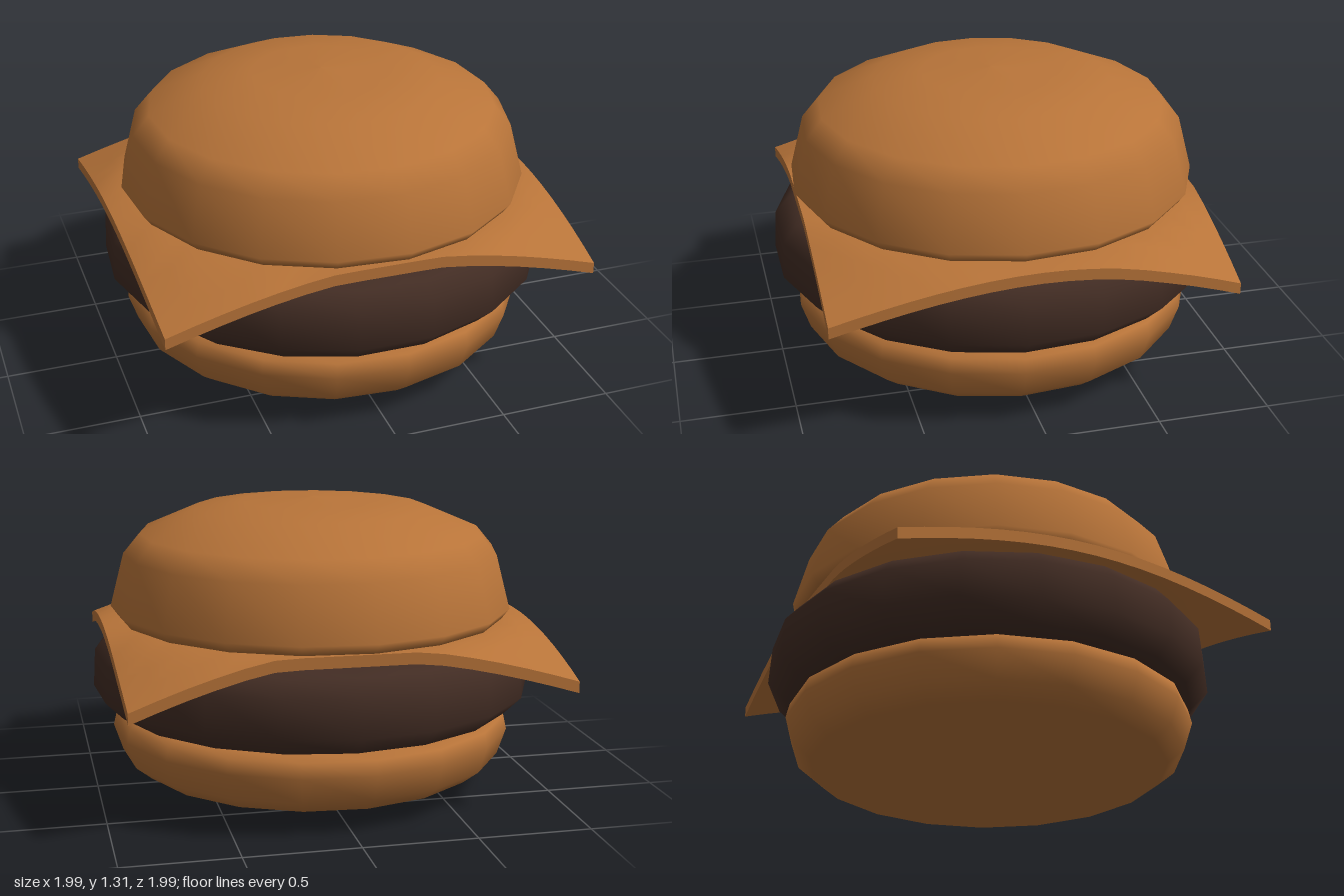
import * as THREE from 'three';

const DEG = Math.PI / 180;

function mat(name, color) {
  const m = new THREE.MeshStandardMaterial({ color });
  m.name = name;
  return m;
}

// Round layer: profile points [radius, y] run from the bottom centre to the top centre
function layer(name, profile, sides, startDeg, material) {
  const pts = profile.map(([r, y]) => new THREE.Vector2(r, y));
  const mesh = new THREE.Mesh(new THREE.LatheGeometry(pts, sides, startDeg * DEG), material);
  mesh.name = name;
  return mesh;
}

// Slightly skewed square slice, level under the bun, with corners that droop
function cheeseSlice(material) {
  const geo = new THREE.BoxGeometry(2, 0.05, 2, 16, 1, 16);
  const p = geo.attributes.position;
  const corners = { backLeft: [0.93, -0.86], backRight: [-0.97, -0.88], frontLeft: [0.94, 0.895], frontRight: [-0.955, 0.89] };
  for (let i = 0; i < p.count; i++) {
    const u = (p.getX(i) + 1) / 2, v = (p.getZ(i) + 1) / 2;
    const mix = k => THREE.MathUtils.lerp(
      THREE.MathUtils.lerp(corners.backRight[k], corners.backLeft[k], u),
      THREE.MathUtils.lerp(corners.frontRight[k], corners.frontLeft[k], u), v);
    const bulge = 0.02 * (2 * u - 1) * 4 * v * (1 - v);
    const x = mix(0) + bulge, z = mix(1);
    const over = Math.max(0, Math.hypot(x, z) - 0.92);
    const slope = x > 0 && z < 0 ? 0.42 + 0.13 * Math.min(1, 2 * Math.min(x, -z)) : 0.42;
    p.setXYZ(i, x, 0.755 + p.getY(i) - over * slope, z);
  }
  geo.computeVertexNormals();
  const mesh = new THREE.Mesh(geo, material);
  mesh.name = 'cheeseSlice';
  return mesh;
}

export function createModel() {
  const group = new THREE.Group();
  group.name = 'burger';
  const bun = mat('toasted brown', 0xb87439);
  const meat = mat('dark meat brown', 0x432d24);

  group.add(layer('bottomBun', [
    [0, 0], [0.52, 0.035], [0.8, 0.09], [0.875, 0.15], [0.915, 0.27],
    [0.9, 0.335], [0.84, 0.36], [0, 0.36],
  ], 18, 5.5, bun));

  group.add(layer('patty', [
    [0, 0.355], [0.86, 0.36], [0.92, 0.38], [1, 0.46],
    [0.99, 0.63], [0.93, 0.7], [0.86, 0.725], [0, 0.735],
  ], 19, 180, meat));

  group.add(cheeseSlice(bun));

  group.add(layer('topBun', [
    [0, 0.785], [0.88, 0.785], [0.913, 0.83], [0.85, 1.07],
    [0.775, 1.16], [0.53, 1.265], [0.31, 1.295], [0, 1.31],
  ], 18, 5.5, bun));

  return group;
}
